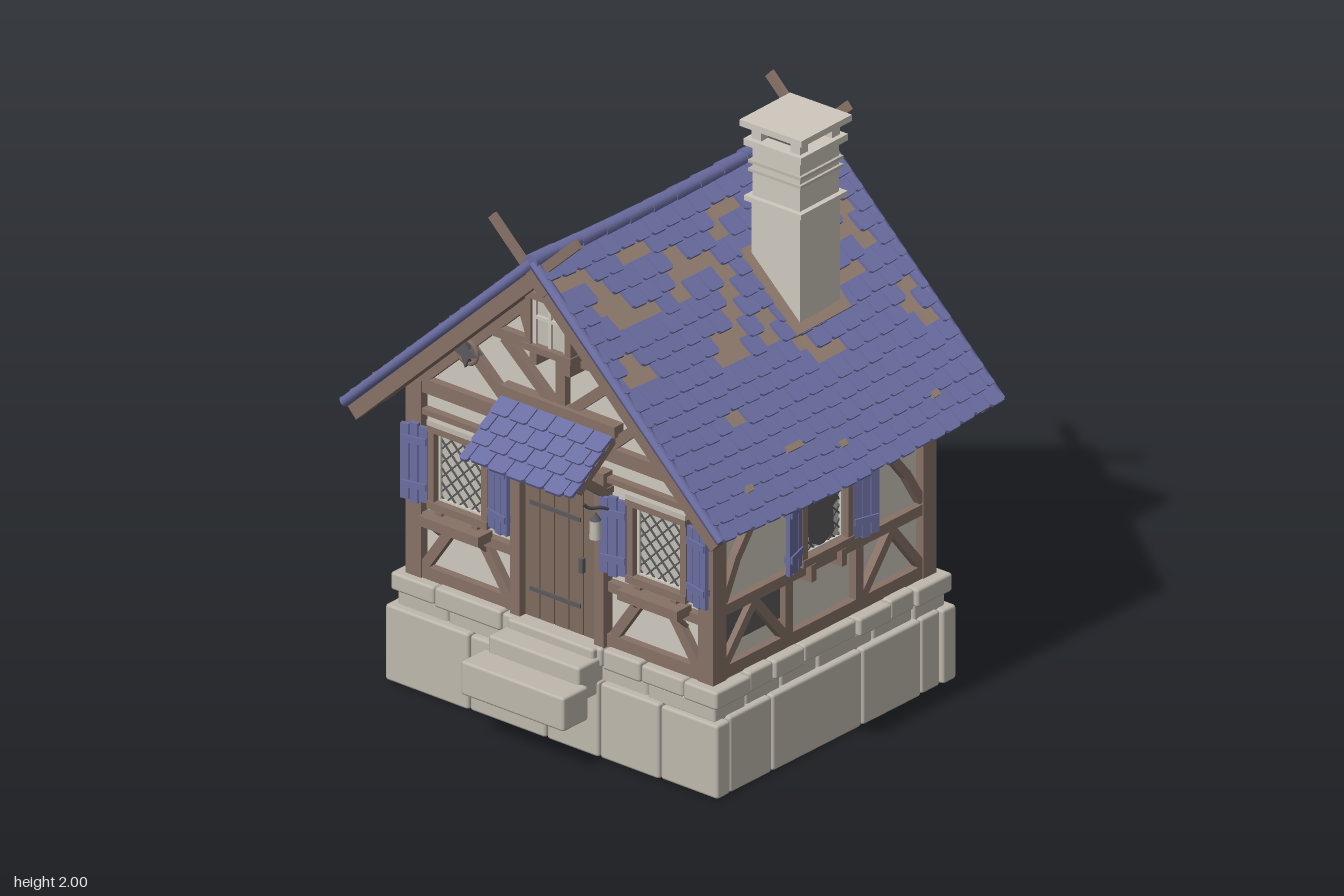
import * as THREE from 'three';
import { mergeGeometries } from 'three/addons/utils/BufferGeometryUtils.js';
import { RoundedBoxGeometry } from 'three/addons/geometries/RoundedBoxGeometry.js';

const mat = (name, color) => Object.assign(new THREE.MeshStandardMaterial({ color }), { name });
const M = {
  stone: mat('stone', 0xbeb8ad), plaster: mat('plaster', 0xcec8be), wood: mat('timber', 0x877166),
  door: mat('door wood', 0x7f6a5e), deck: mat('roof boards', 0x937f70), tile: mat('blue slate', 0x6b6ea2),
  glass: mat('window glass', 0xc2beb4), iron: mat('dark iron', 0x5a595c), dark: mat('dark interior', 0x2b2a2a),
};
let seed = 7;
const rnd = () => (seed = (seed * 16807) % 2147483647) / 2147483647;

function add(parent, name, geo, m) {
  const mesh = new THREE.Mesh(geo, m);
  mesh.name = name;
  parent.add(mesh);
  return mesh;
}
const boxGeo = (x0, x1, y0, y1, z0, z1, seg = 1) => new THREE.BoxGeometry(x1 - x0, y1 - y0, z1 - z0, 1, 1, seg)
  .translate((x0 + x1) / 2, (y0 + y1) / 2, (z0 + z1) / 2);
const box = (p, name, m, ...b) => add(p, name, boxGeo(...b), m);

// Straight timber lying on a wall plane from a to b
function beam(p, a, b, w = 0.045, z0 = -0.01, z1 = 0.028, name = 'timber', m = M.wood) {
  const dx = b[0] - a[0], dy = b[1] - a[1], l = Math.hypot(dx, dy);
  const g = boxGeo(-l / 2, l / 2, -w / 2, w / 2, z0, z1).rotateZ(Math.atan2(dy, dx));
  return add(p, name, g.translate((a[0] + b[0]) / 2, (a[1] + b[1]) / 2, 0), m);
}
function mirrored(p, a, b, ...rest) {
  for (const s of [1, -1]) beam(p, [s * a[0], a[1]], [s * b[0], b[1]], ...rest);
}

// Overlapping slates: x runs down the slope, y outwards
function slates(L, W, rows, cols, missing = () => false) {
  const parts = [], ex = L / rows, w = W / cols;
  for (let r = 0; r < rows; r++) for (let c = 0; c <= cols; c++) {
    const start = -W / 2 + (c - (r % 2 ? 0.5 : 0)) * w;
    const lo = Math.max(-W / 2, start) + 0.002, hi = Math.min(W / 2, start + w) - 0.002;
    const len = ex * 1.18 + rnd() * 0.01;
    if (hi - lo < 0.01 || missing((r + 0.6) * ex, (lo + hi) / 2)) continue;
    const h = (hi - lo) / 2, k = Math.min(0.009, h * 0.4);
    const s = new THREE.Shape([[0, -h], [len - k, -h], [len, -h + k], [len, h - k], [len - k, h], [0, h]]
      .map(q => new THREE.Vector2(...q)));
    parts.push(new THREE.ExtrudeGeometry(s, { depth: 0.012, bevelEnabled: false })
      .rotateX(-Math.PI / 2).rotateZ(0.12 + rnd() * 0.03).translate(r * ex, 0, (lo + hi) / 2));
  }
  return mergeGeometries(parts);
}

// Framed window with lattice, shutters and sill
function windowUnit(p, u, y, angle, { broken = false, planter = true } = {}) {
  const g = new THREE.Group();
  g.name = 'latticeWindow';
  g.position.set(u, y, 0);
  p.add(g);
  const w = 0.1, h = 0.125;
  box(g, 'glass', M.glass, -w, w, -h, h, 0, 0.012);
  for (const d of [1, -1]) for (let c = -0.2; c < 0.21; c += 0.05) {
    const x0 = Math.max(-w, c - h), x1 = Math.min(w, c + h);
    if (x1 - x0 > 0.01) beam(g, [x0, d * (c - x0)], [x1, d * (c - x1)], 0.005, 0.01, 0.017, 'lattice', M.iron);
  }
  if (broken) {
    const pts = [[-0.06, -0.09], [0, -0.12], [0.06, -0.09], [0.055, 0], [0.085, 0.02], [0.05, 0.07], [0.02, 0.115], [-0.01, 0.085], [-0.04, 0.1], [-0.08, 0.01]];
    add(g, 'brokenPane', new THREE.ShapeGeometry(new THREE.Shape(pts.map(q => new THREE.Vector2(...q)))).translate(0, 0, 0.019), M.iron);
  }
  mirrored(g, [0.095, -0.125], [0.095, 0.125], 0.01, 0, 0.022, 'innerFrame', M.plaster);
  for (const e of [-0.12, 0.12]) beam(g, [-0.1, e], [0.1, e], 0.01, 0, 0.022, 'innerFrame', M.plaster);
  mirrored(g, [0.112, -0.14], [0.112, 0.14], 0.026, 0, 0.045, 'windowFrame');
  beam(g, [-0.125, -0.135], [0.125, -0.135], 0.026, 0, 0.05, 'windowFrame');
  beam(g, [-0.125, 0.135], [0.125, 0.135], 0.022, 0, 0.05, 'windowFrame');
  beam(g, [-0.125, 0.155], [0.125, 0.155], 0.018, 0, 0.05, 'lintel', M.stone);
  for (const s of [1, -1]) {
    const sh = new THREE.Group();
    sh.name = 'shutter';
    sh.position.set(s * 0.128, 0, 0.03);
    sh.rotation.y = -s * angle;
    g.add(sh);
    for (let i = 0; i < 3; i++) {
      const x = s * (0.018 + i * 0.033), e = i === 1 ? 0.008 : 0;
      box(sh, 'shutterPlank', M.tile, x - 0.015, x + 0.015, -0.135 - e, 0.13 + e, 0, 0.014);
    }
    for (const b of [-0.08, 0.08]) box(sh, 'shutterBatten', M.tile, s * 0.05 - 0.045, s * 0.05 + 0.045, b - 0.012, b + 0.012, -0.008, 0.02);
    box(g, 'sillBracket', M.wood, s * 0.075 - 0.012, s * 0.075 + 0.012, -0.21, -0.15, 0, 0.05);
    if (planter) add(g, 'shelfStrut', new THREE.BoxGeometry(0.012, 0.012, 0.09).rotateX(-0.75).translate(s * 0.1, -0.215, 0.045), M.wood);
  }
  if (planter) box(g, 'planterShelf', M.wood, -0.125, 0.125, -0.195, -0.16, 0.02, 0.09);
}

function wall(root, name, x, z, ry) {
  const g = new THREE.Group();
  g.name = name;
  g.position.set(x, 0, z);
  g.rotation.y = ry;
  root.add(g);
  return g;
}

// Ring of rounded stone blocks
function course(root, y0, y1, xr, zf, zb, xs, zs, depth) {
  const block = (x0, x1, z0, z1) => add(root, 'foundationStone', new RoundedBoxGeometry(x1 - x0 - 0.004, y1 - y0 + rnd() * 0.012, z1 - z0 - 0.004, 1, 0.01)
    .translate((x0 + x1) / 2, (y0 + y1) / 2, (z0 + z1) / 2), M.stone);
  const X = [-xr, ...xs, xr], Z = [zb + depth, ...zs, zf - depth];
  for (let i = 0; i < X.length - 1; i++) {
    const j = rnd() * 0.012;
    block(X[i], X[i + 1], zf - depth, zf - j);
    block(X[i], X[i + 1], zb + j, zb + depth);
  }
  for (let i = 0; i < Z.length - 1; i++) for (const s of [1, -1]) {
    const a = s * xr - s * rnd() * 0.012, b = s * (xr - depth);
    block(Math.min(a, b), Math.max(a, b), Z[i], Z[i + 1]);
  }
}

export function createModel() {
  const root = new THREE.Group();
  root.name = 'cottage';

  // Foundation and steps
  course(root, 0.005, 0.262, 0.692, 0.56, -0.635, [-0.34, -0.02, 0.2, 0.45], [-0.46, -0.17, 0.27], 0.08);
  course(root, 0.26, 0.315, 0.665, 0.535, -0.605, [-0.45, -0.2, 0.12, 0.38], [-0.25, 0.02, 0.2], 0.16);
  course(root, 0.315, 0.375, 0.685, 0.55, -0.62, [-0.5, -0.22, 0.2, 0.36, 0.54], [-0.32, -0.16, 0.1, 0.25], 0.18);
  box(root, 'floor', M.dark, -0.6, 0.6, 0.32, 0.37, -0.54, 0.47);
  for (const [w, y0, y1, z0, z1] of [[0.215, 0.165, 0.285, 0.62, 0.745], [0.19, 0.22, 0.345, 0.5, 0.64], [0.18, 0.33, 0.378, 0.48, 0.56]])
    add(root, 'step', new RoundedBoxGeometry(2 * w, y1 - y0, z1 - z0, 1, 0.01).translate(0, (y0 + y1) / 2, (z0 + z1) / 2), M.stone);

  // Plaster body and corner posts
  const body = new THREE.Shape([[-0.61, 0.37], [0.61, 0.37], [0.61, 1.09], [0, 1.655], [-0.61, 1.09]].map(q => new THREE.Vector2(...q)));
  add(root, 'plasterWalls', new THREE.ExtrudeGeometry(body, { depth: 1.03, bevelEnabled: false }).translate(0, 0, -0.55), M.plaster);
  for (const x of [-0.61, 0.61]) for (const z of [-0.55, 0.48]) box(root, 'cornerPost', M.wood, x - 0.032, x + 0.032, 0.375, 1.07, z - 0.032, z + 0.032);

  // Timbers shared by both gables
  const front = wall(root, 'frontWall', 0, 0.48, 0), back = wall(root, 'backWall', 0, -0.55, Math.PI);
  for (const g of [front, back]) {
    beam(g, [-0.6, 1.057], [0.6, 1.057], 0.05);
    beam(g, [-0.33, 1.342], [0.33, 1.342], 0.036);
    beam(g, [0, 1.05], [0, 1.34], 0.038);
    mirrored(g, [0.62, 1.05], [0, 1.625], 0.05);
    mirrored(g, [0.03, 1.15], [0.24, 1.33], 0.035);
    mirrored(g, [0.2, 1.08], [0.38, 1.24], 0.035);
    mirrored(g, [0.12, 1.35], [0.16, 1.46], 0.035);
  }

  // Front wall
  mirrored(front, [0.19, 0.4], [0.6, 0.4]);
  mirrored(front, [0.2, 0.59], [0.6, 0.59], 0.035);
  mirrored(front, [0.19, 0.965], [0.6, 0.965], 0.02);
  mirrored(front, [0.57, 0.42], [0.46, 0.58], 0.035);
  mirrored(front, [0.22, 0.42], [0.33, 0.58], 0.035);
  for (const s of [1, -1]) {
    windowUnit(front, s * 0.415, 0.79, 0.22);
    const star = new THREE.Shape(Array.from({ length: 8 }, (_, i) => {
      const r = i % 2 ? 0.022 : 0.05, t = i * Math.PI / 4;
      return new THREE.Vector2(r * Math.cos(t), r * Math.sin(t));
    }));
    add(front, 'starOrnament', new THREE.ExtrudeGeometry(star, { depth: 0.035, bevelEnabled: false }).translate(s * 0.385, 1.235, 0.01), M.iron);
    add(front, 'ornamentRing', new THREE.TorusGeometry(0.04, 0.008, 6, 16).translate(s * 0.385, 1.235, 0.03), M.wood);
  }

  // Door
  mirrored(front, [0.175, 0.375], [0.175, 0.99], 0.04, 0, 0.045, 'doorPost');
  beam(front, [-0.2, 0.925], [0.2, 0.925], 0.022, 0, 0.04, 'doorLintel');
  box(front, 'doorGap', M.dark, -0.155, 0.155, 0.38, 0.92, 0, 0.006);
  for (let i = 0; i < 5; i++) box(front, 'doorPlank', M.door, -0.151 + i * 0.061, -0.094 + i * 0.061, 0.38, 0.915, 0, 0.02);
  for (const y of [0.48, 0.785]) box(front, 'doorHinge', M.iron, -0.13, 0.08, y - 0.007, y + 0.007, 0.018, 0.026);
  box(front, 'doorHandle', M.iron, 0.083, 0.098, 0.605, 0.655, 0.018, 0.035);

  // Porch roof with brackets
  const porch = g => g.rotateZ(-0.63).rotateY(-Math.PI / 2).translate(0, 1.145, 0.49);
  add(root, 'porchBoards', porch(boxGeo(-0.02, 0.245, -0.025, 0, -0.23, 0.23)), M.wood);
  add(root, 'porchSlates', porch(slates(0.245, 0.47, 4, 6).translate(0.025, 0, 0)), M.tile);
  box(root, 'porchTopBeam', M.wood, -0.24, 0.24, 1.13, 1.17, 0.48, 0.525);
  for (const s of [1, -1]) add(root, 'porchBracket', new THREE.BoxGeometry(0.03, 0.03, 0.17).rotateX(-0.65).translate(s * 0.19, 0.965, 0.575), M.wood);

  // Lantern on a curved arm
  const arm = new THREE.CatmullRomCurve3([[0.66, 0.945], [0.63, 0.92], [0.57, 0.9], [0.5, 0.86]].map(q => new THREE.Vector3(0.225, q[1], q[0])));
  add(root, 'lanternArm', new THREE.TubeGeometry(arm, 12, 0.006, 6), M.iron);
  add(root, 'lantern', new THREE.CylinderGeometry(0.018, 0.02, 0.065, 8).translate(0.225, 0.835, 0.6), M.glass);
  add(root, 'lanternCap', new THREE.ConeGeometry(0.02, 0.03, 8).translate(0.225, 0.882, 0.6), M.iron);

  // Gable window
  box(front, 'gableGlass', M.glass, -0.08, 0.08, 1.38, 1.56, 0, 0.07);
  mirrored(front, [0.083, 1.36], [0.083, 1.57], 0.024, 0, 0.09, 'gableFrame');
  for (const y of [1.372, 1.56]) beam(front, [-0.1, y], [0.1, y], 0.024, 0, 0.095, 'gableFrame');
  mirrored(front, [0.064, 1.385], [0.064, 1.55], 0.014, 0.06, 0.08, 'gableBar', M.plaster);
  beam(front, [0, 1.38], [0, 1.55], 0.012, 0.06, 0.08, 'gableBar', M.plaster);
  beam(front, [-0.07, 1.48], [0.07, 1.48], 0.012, 0.06, 0.08, 'gableBar', M.plaster);
  mirrored(front, [0.07, 1.31], [0.07, 1.36], 0.03, 0, 0.08, 'gableBracket');

  // Back wall: crossed bays beside a plain centre panel
  beam(back, [-0.6, 0.4], [0.6, 0.4]);
  mirrored(back, [0.2, 0.4], [0.2, 1.04]);
  mirrored(back, [0.2, 0.62], [0.6, 0.62], 0.04);
  mirrored(back, [0.21, 0.64], [0.59, 1.03], 0.036);
  mirrored(back, [0.59, 0.64], [0.21, 1.03], 0.036, -0.01, 0.024);
  mirrored(back, [0.57, 0.42], [0.4, 0.6], 0.036);
  mirrored(back, [0.22, 0.42], [0.4, 0.6], 0.036);
  box(back, 'centrePanel', M.plaster, -0.17, 0.17, 0.43, 1.02, 0, 0.008);

  // Side walls
  for (const s of [1, -1]) {
    const g = wall(root, s > 0 ? 'leftWall' : 'rightWall', s * 0.61, 0, s * Math.PI / 2);
    const b = (z0, y0, z1, y1, w = 0.038) => beam(g, [-s * z0, y0], [-s * z1, y1], w);
    b(0.46, 0.4, -0.53, 0.4, 0.045);
    b(0.46, 0.62, -0.53, 0.62);
    b(0.46, 1.04, -0.53, 1.04, 0.05);
    for (const z of [0.135, -0.21]) b(z, 0.4, z, 0.62);
    b(0.45, 0.65, 0.38, 0.79, 0.03); b(0.385, 0.78, 0.2, 1.02, 0.03);
    b(-0.52, 0.65, -0.44, 0.78, 0.03); b(-0.445, 0.77, -0.24, 1.02, 0.03);
    for (const [z0, z1, zm] of [[0.45, 0.15, 0.3], [-0.23, -0.52, -0.375]]) { b(z0, 0.42, zm, 0.6, 0.032); b(z1, 0.42, zm, 0.6, 0.032); }
    if (s > 0) box(g, 'fallenPlaster', M.iron, -0.45, -0.15, 0.48, 0.6, 0, 0.006);
    windowUnit(g, s * 0.035, 0.79, 0.3, { broken: s > 0, planter: s < 0 });
  }

  // Roof: both slopes share one frame, with a sagging ridge
  const a = 0.755, L = 1.068, APEX = 1.712;
  const place = (g, s) => {
    g.rotateZ(-a).translate(0, APEX, 0);
    const p = g.attributes.position;
    for (let i = 0; i < p.count; i++) p.setY(i, p.getY(i) - 0.022 * (1 - (p.getZ(i) / 0.7) ** 2));
    if (s < 0) g.rotateY(Math.PI);
    g.translate(0, 0, -0.04);
    g.computeVertexNormals();
    return g;
  };
  // Slates missing at [x, z]
  const gaps = [[0.48, -0.65], [0.44, -0.65], [0.53, -0.65], [0.48, -0.6], [0.31, -0.62], [0.22, -0.6], [0.1, -0.6], [0.36, -0.5], [0.13, -0.45], [0.22, -0.05],
    [0.27, -0.03], [0.3, 0.03], [0.13, 0.08], [0.18, 0.05], [0.36, 0.1], [0.36, 0.17], [0.4, 0.2], [0.21, 0.18], [0.08, 0.3], [0.2, 0.32], [0.22, 0.44],
    [0.15, 0.5], [0.08, 0.54], [0.1, 0.46], [0.31, 0.56], [0.35, 0.54], [0.53, 0.27], [0.1, 0.12], [0.35, -0.07], [0.41, -0.07], [0.18, 0.17], [0.18, 0.09],
    [0.18, -0.01], [0.07, -0.12], [0.13, -0.12], [0.36, 0.06], [0.41, 0.12], [0.06, -0.45], [0.19, -0.47], [0.25, -0.55], [0.36, -0.45],
    [0.06, 0.22], [0.21, 0.38], [0.14, 0.44], [0.07, 0.6], [0.42, -0.12], [0.47, -0.22], [0.06, -0.2],
    [-0.76, -0.4], [-0.52, -0.27], [-0.39, 0.53], [-0.2, -0.45], [-0.08, 0.52], [-0.12, 0.56]];
  for (const s of [1, -1]) {
    const missing = (d, z) => gaps.some(q => Math.abs(q[0] - s * d * Math.cos(a)) < 0.026 && Math.abs(q[1] - (s * z - 0.04)) < 0.038);
    add(root, 'roofBoards', place(boxGeo(0, L - 0.015, -0.03, 0.008, -0.675, 0.675, 14), s), M.deck);
    add(root, 'roofSlates', place(slates(L, 1.38, 17, 19, missing).translate(0, 0.006, 0), s), M.tile);
    for (const e of [1, -1]) {
      add(root, 'bargeBoard', place(boxGeo(0, L + 0.005, -0.06, -0.005, e * 0.665 - 0.015, e * 0.665 + 0.015), s), M.wood);
      add(root, 'crossedFinial', place(boxGeo(-0.21, 0.1, -0.045, -0.012, e * 0.67 + s * e * 0.008 - 0.008, e * 0.67 + s * e * 0.008 + 0.008), s), M.wood);
      add(root, 'rakeTrim', place(new THREE.CylinderGeometry(0.018, 0.018, L + 0.012, 8).rotateZ(Math.PI / 2).translate(L / 2, 0.008, e * 0.682), s), M.tile);
    }
    for (let i = 0; i < 9; i++) add(root, 'rafter', place(boxGeo(0.05, L - 0.04, -0.05, -0.025, -0.575 + i * 0.144 - 0.018, -0.575 + i * 0.144 + 0.018), s), M.wood);
    // Small wooden pegs near the eaves
    for (const [x, z, l] of [[0.71, -0.49, 0.015], [0.71, -0.04, 0.015], [0.71, 0.42, 0.015], [0.665, 0.15, 0.038]]) {
      const d = x / Math.cos(a) - 0.02, zc = s * (z + 0.04);
      add(root, 'roofPeg', place(boxGeo(d - 0.011, d + 0.011, 0, 0.034, zc - l, zc + l), s), M.deck);
    }
  }
  const ridge = [];
  for (let i = 0; i < 12; i++) ridge.push(new THREE.CylinderGeometry(0.028, 0.025, 0.12, 8).rotateX(Math.PI / 2)
    .translate(0, 1.728 - 0.022 * (1 - ((i - 5.5) / 6) ** 2), -0.04 + (i - 5.5) * 0.115));
  add(root, 'ridgeCaps', mergeGeometries(ridge), M.tile);

  // Chimney with a timber curb, bands and a raised cap
  add(root, 'chimneyCurb', place(boxGeo(0.25, 0.58, -0.02, 0.036, -0.355, -0.095), 1), M.deck);
  const stack = new THREE.Group();
  stack.name = 'chimney';
  stack.position.set(0.322, 0, -0.267);
  stack.rotation.y = 0.02;
  root.add(stack);
  for (const [h, y0, y1, m] of [[0.1, 1.2, 1.72, M.plaster], [0.117, 1.715, 1.732, M.plaster], [0.098, 1.73, 1.92, M.plaster],
    [0.108, 1.818, 1.828, M.stone], [0.108, 1.848, 1.858, M.stone], [0.118, 1.91, 1.933, M.plaster], [0.065, 1.93, 1.985, M.iron], [0.127, 1.978, 2, M.plaster]])
    box(stack, 'chimneyBlock', m, -h, h, y0, y1, -h, h);
  for (const x of [-0.08, 0.08]) for (const z of [-0.08, 0.08]) box(stack, 'capSupport', M.plaster, x - 0.02, x + 0.02, 1.93, 1.98, z - 0.02, z + 0.02);
  return root;
}
